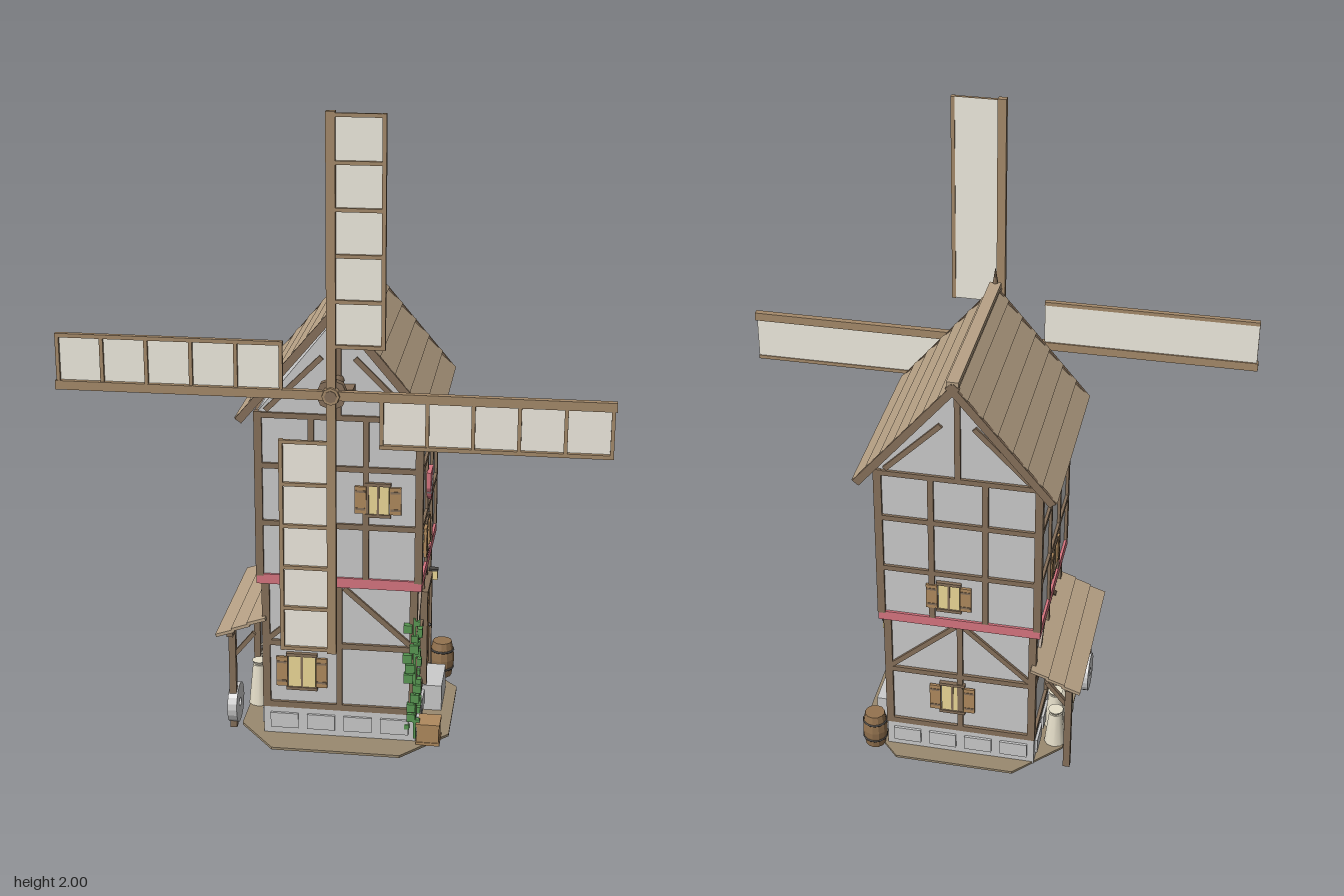
import * as THREE from 'three';

const paint = (color, opts = {}) => new THREE.MeshStandardMaterial({ color, ...opts });
const MAT = {
  wall: paint(0xcccccc), stone: paint(0xcccccc), timber: paint(0x86705a), spar: paint(0xa58a6a),
  roof: paint(0xb8a286), band: paint(0xd87580), glass: paint(0xeeda98), shutter: paint(0xb08a5e),
  door: paint(0xa27c54), iron: paint(0x4a4744), leaf: paint(0x5a9a54), soil: paint(0x9a8a70),
  sack: paint(0xe6dfca), white: paint(0xeeeeee), cloth: paint(0xf0ece0, { side: THREE.DoubleSide }),
};
const CZ = -0.05; // centre of the tower in z

function add(parent, name, geo, mat, x = 0, y = 0, z = 0) {
  const m = new THREE.Mesh(geo, mat);
  m.name = name;
  m.position.set(x, y, z);
  parent.add(m);
  return m;
}
const box = (p, name, mat, w, h, d, x, y, z) => add(p, name, new THREE.BoxGeometry(w, h, d), mat, x, y, z);
function group(parent, name, x = 0, y = 0, z = 0) {
  const g = new THREE.Group();
  g.name = name;
  g.position.set(x, y, z);
  parent.add(g);
  return g;
}
// Straight beam between two points in an XY plane at depth z
function beam(p, name, x1, y1, x2, y2, z, w = 0.02, d = 0.016, mat = MAT.timber) {
  const m = box(p, name, mat, Math.hypot(x2 - x1, y2 - y1), w, d, (x1 + x2) / 2, (y1 + y2) / 2, z);
  m.rotation.z = Math.atan2(y2 - y1, x2 - x1);
  return m;
}
function prism(points, depth) {
  const g = new THREE.ExtrudeGeometry(new THREE.Shape(points.map(p => new THREE.Vector2(...p))),
    { depth, bevelEnabled: false });
  return g.translate(0, 0, -depth / 2);
}

// Lit window with mullions, frame and open shutters
function windowUnit(p, x, y, z, w = 0.066, h = 0.1) {
  const g = group(p, 'window', x, y, z);
  box(g, 'windowPane', MAT.glass, w, h, 0.012, 0, 0, 0.001);
  box(g, 'mullion', MAT.timber, 0.007, h, 0.016, 0, 0, 0.002);
  for (const s of [-1, 1]) {
    box(g, 'windowRail', MAT.timber, w + 0.012, 0.01, 0.018, 0, s * h / 2, 0.003);
    const leaf = box(g, 'shutter', MAT.shutter, 0.035, h * 0.86, 0.009, s * (w / 2 + 0.02), 0, 0.008);
    for (const v of [-1, 1]) box(leaf, 'shutterBatten', MAT.timber, 0.03, 0.007, 0.012, 0, v * h * 0.28, 0);
  }
}

// Timber framing of one side, facing local +z
function wallFrame(root, name, angle) {
  const g = group(root, name, 0, 0, CZ);
  g.rotation.y = angle;
  const lo = 0.234, up = 0.248;
  beam(g, 'sill', -0.24, 0.108, 0.24, 0.108, lo, 0.02);
  beam(g, 'lowerRail', -0.24, 0.32, 0.24, 0.32, lo, 0.018);
  beam(g, 'lowerPost', 0, angle === Math.PI / 2 ? 0.42 : 0.11, 0, 0.53, lo, 0.018);
  for (const s of [-1, 1]) {
    beam(g, 'lowerBrace', s * 0.015, 0.515, s * 0.225, 0.33, lo, 0.016, 0.014);
    beam(g, 'upperPost', s * 0.083, 0.555, s * 0.083, 1.07, up, 0.018);
  }
  for (const y of [0.725, 0.91, 1.07]) beam(g, 'upperRail', -0.25, y, 0.25, y, up, 0.017);
  box(g, 'bandBoard', MAT.band, 0.508, 0.032, 0.016, 0, 0.54, 0.247);
  for (let i = 0; i < 4; i++)
    box(g, 'foundationStone', MAT.stone, 0.088, 0.05, 0.02, -0.174 + i * 0.116, 0.055, 0.238);
  return g;
}

// One sail: spar, cloth and ladder frame, pointing up from the hub
function sail(parent, angle) {
  const g = group(parent, 'sail');
  g.rotation.z = angle;
  beam(g, 'spar', 0, 0, 0, 0.814, 0, 0.027, 0.02, MAT.spar);
  beam(g, 'outerRail', 0.15, 0.14, 0.15, 0.81, 0, 0.012, 0.016, MAT.spar);
  for (let i = 0; i < 6; i++) {
    const y = 0.146 + i * 0.1316;
    beam(g, 'sailRung', 0, y, 0.15, y, 0.002, 0.011, 0.01, MAT.spar);
  }
  add(g, 'sailCloth', new THREE.PlaneGeometry(0.144, 0.668), MAT.cloth, 0.078, 0.475, -0.005);
}

// Overlapping boards running along z on a slope of length L
function boards(slope, name, L, rows, width, thick, y, tilt) {
  for (let i = 0; i < rows; i++) {
    const board = box(slope, name, MAT.roof, L / rows + 0.006, thick, width, (i + 0.5) * L / rows, y, 0);
    board.rotation.z = tilt;
  }
}

function barrel(p, x, z) {
  const g = group(p, 'barrel', x, 0.006, z);
  const pts = [[0, 0], [0.032, 0], [0.039, 0.04], [0.041, 0.062], [0.039, 0.085], [0.032, 0.124], [0, 0.124]];
  add(g, 'barrelStaves', new THREE.LatheGeometry(pts.map(a => new THREE.Vector2(...a)), 12),
    paint(0x94734f, { flatShading: true }));
  for (const y of [0.03, 0.094]) {
    const hoop = add(g, 'barrelHoop', new THREE.TorusGeometry(0.037, 0.004, 5, 14), MAT.iron, 0, y, 0);
    hoop.rotation.x = Math.PI / 2;
  }
}

export function createModel() {
  const root = new THREE.Group();
  root.name = 'windmill';

  // Ground slab, outlined in x and z
  const outline = [[-0.2, 0.29], [0.2, 0.29], [0.34, 0.13], [0.34, -0.2], [0.2, -0.35], [-0.18, -0.35], [-0.32, -0.2], [-0.32, 0.14]];
  add(root, 'ground', prism(outline, 0.008).rotateX(Math.PI / 2), MAT.soil, 0, 0.004, 0);

  // Tower: foundation, two storeys and gable
  box(root, 'foundation', MAT.stone, 0.48, 0.1, 0.48, 0, 0.05, CZ);
  box(root, 'lowerWalls', MAT.wall, 0.464, 0.44, 0.464, 0, 0.32, CZ);
  box(root, 'upperWalls', MAT.wall, 0.494, 0.55, 0.494, 0, 0.805, CZ);
  add(root, 'gableWalls', prism([[-0.247, 1.075], [0.247, 1.075], [0, 1.385]], 0.494), MAT.wall, 0, 0, CZ);
  for (const sx of [-1, 1]) for (const sz of [-1, 1]) {
    box(root, 'lowerCornerPost', MAT.timber, 0.024, 0.43, 0.024, sx * 0.23, 0.315, CZ + sz * 0.23);
    box(root, 'upperCornerPost', MAT.timber, 0.024, 0.53, 0.024, sx * 0.244, 0.815, CZ + sz * 0.244);
  }

  // Four framed sides
  const front = wallFrame(root, 'frontFrame', 0);
  const east = wallFrame(root, 'doorSideFrame', Math.PI / 2);
  const back = wallFrame(root, 'backFrame', Math.PI);
  const west = wallFrame(root, 'shelterSideFrame', -Math.PI / 2);
  for (const g of [front, back]) {
    beam(g, 'gablePost', 0, 1.07, 0, 1.37, 0.248, 0.018);
    for (const s of [-1, 1]) beam(g, 'gableBrace', s * 0.22, 1.085, s * 0.05, 1.255, 0.248, 0.016);
  }
  windowUnit(front, 0.12, 0.815, 0.247);
  windowUnit(front, -0.118, 0.225, 0.234, 0.085, 0.115);
  windowUnit(east, 0.045, 1.0, 0.247);
  windowUnit(east, -0.085, 0.645, 0.247, 0.07, 0.11);
  windowUnit(back, -0.03, 0.64, 0.247);
  windowUnit(back, -0.025, 0.23, 0.234, 0.07, 0.11);
  windowUnit(west, -0.01, 0.99, 0.247);
  windowUnit(west, -0.01, 0.66, 0.247);
  windowUnit(west, 0.06, 0.25, 0.234);

  // Door with step and lantern
  for (let i = 0; i < 5; i++) box(east, 'doorPlank', MAT.door, 0.027, 0.3, 0.016, 0.001 + i * 0.028, 0.26, 0.238);
  for (const u of [-0.021, 0.135]) box(east, 'doorJamb', MAT.timber, 0.016, 0.32, 0.028, u, 0.26, 0.24);
  box(east, 'doorLintel', MAT.timber, 0.175, 0.018, 0.03, 0.057, 0.417, 0.24);
  for (const y of [0.17, 0.35]) box(east, 'doorHinge', MAT.timber, 0.08, 0.008, 0.02, 0.03, y, 0.239);
  add(east, 'doorKnob', new THREE.SphereGeometry(0.006, 8, 6), MAT.iron, 0.105, 0.25, 0.25);
  box(east, 'doorStep', MAT.stone, 0.16, 0.09, 0.07, 0.055, 0.05, 0.268);
  box(east, 'lantern', MAT.glass, 0.018, 0.03, 0.018, 0.137, 0.415, 0.262);
  box(east, 'lanternCap', MAT.iron, 0.022, 0.007, 0.03, 0.137, 0.434, 0.258);

  // Painted shield
  const shield = [[-0.04, 0.05], [-0.04, 0], [-0.025, -0.03], [0, -0.05], [0.025, -0.03], [0.04, 0], [0.04, 0.05]];
  add(east, 'shield', prism(shield, 0.014), MAT.band, -0.08, 0.81, 0.26);
  beam(east, 'shieldStripe', -0.11, 0.79, -0.05, 0.84, 0.262, 0.012, 0.014, MAT.white);

  // Roof: overlapping planks, barge boards and ridge
  const run = 0.305, drop = 0.362, L = Math.hypot(run, drop);
  for (const turn of [0, Math.PI]) {
    const half = group(root, 'roofHalf', 0, 1.437, -0.055);
    half.rotation.y = turn;
    const slope = group(half, 'roofSlope');
    slope.rotation.z = -Math.atan2(drop, run);
    box(slope, 'roofDeck', MAT.roof, L - 0.01, 0.01, 0.6, L / 2, -0.022, 0);
    boards(slope, 'roofPlank', L, 7, 0.612, 0.01, -0.011, 0.12);
    for (const s of [-1, 1]) box(slope, 'bargeBoard', MAT.timber, L, 0.024, 0.012, L / 2, -0.016, s * 0.304);
  }
  box(root, 'ridgeBeam', MAT.roof, 0.036, 0.016, 0.616, 0, 1.432, -0.055);
  add(root, 'finial', new THREE.ConeGeometry(0.01, 0.06, 6), MAT.timber, 0, 1.464, 0.25);

  // Sails on their shaft
  const rotor = group(root, 'rotor', 0, 1.186, 0.346);
  for (let i = 0; i < 4; i++) sail(rotor, i * Math.PI / 2);
  const shaft = add(rotor, 'shaft', new THREE.CylinderGeometry(0.018, 0.018, 0.22, 8), MAT.timber, 0, 0, -0.09);
  const hub = add(rotor, 'hub', new THREE.CylinderGeometry(0.046, 0.046, 0.026, 8), MAT.timber, 0, 0, -0.014);
  const cap = add(rotor, 'hubCap', new THREE.CylinderGeometry(0.026, 0.028, 0.02, 8), MAT.spar, 0, 0, 0.008);
  for (const m of [shaft, hub, cap]) m.rotation.x = Math.PI / 2;
  box(root, 'shaftBearing', MAT.timber, 0.1, 0.03, 0.06, 0, 1.16, 0.225);

  // Lean-to shelter
  const shed = group(root, 'shelter');
  const shedSlope = group(shed, 'shelterRoof', -0.235, 0.412, -0.055);
  shedSlope.rotation.set(0, Math.PI, -Math.atan2(0.068, 0.15), 'YXZ');
  boards(shedSlope, 'shelterPlank', 0.164, 3, 0.53, 0.01, -0.006, 0.1);
  for (const z of [-0.27, 0.15]) {
    box(shed, 'shelterPost', MAT.timber, 0.022, 0.345, 0.022, -0.345, 0.172, z);
    beam(shed, 'shelterBrace', -0.34, 0.25, -0.275, 0.33, z, 0.014, 0.014);
    beam(shed, 'shelterRafter', -0.37, 0.336, -0.235, 0.397, z, 0.014, 0.016);
  }
  box(shed, 'shelterBeam', MAT.timber, 0.02, 0.018, 0.5, -0.345, 0.34, -0.055);

  // Sacks, millstone, barrel and crate
  [[-0.29, -0.17, 0.12], [-0.275, -0.09, 0.13], [-0.29, -0.01, 0.14]].forEach(([x, z, h]) => {
    add(root, 'flourSack', new THREE.CylinderGeometry(0.022, 0.036, h, 10), MAT.sack, x, h / 2 + 0.005, z);
    add(root, 'sackTie', new THREE.CylinderGeometry(0.025, 0.015, 0.016, 10), MAT.sack, x, h + 0.01, z);
  });
  const disc = new THREE.Shape().absarc(0, 0, 0.064, 0, Math.PI * 2);
  disc.holes.push(new THREE.Path().absarc(0, 0, 0.014, 0, Math.PI * 2, true));
  const wheel = add(root, 'millstone', new THREE.ExtrudeGeometry(disc, { depth: 0.03, bevelEnabled: false, curveSegments: 10 }),
    MAT.stone, -0.36, 0.07, 0.12);
  wheel.rotation.y = Math.PI / 2;
  barrel(root, 0.282, -0.293);
  const crate = group(root, 'crate', 0.28, 0.042, 0.175);
  box(crate, 'crateBody', MAT.shutter, 0.07, 0.066, 0.07, 0, 0, 0);
  for (const y of [-0.031, 0.031]) box(crate, 'crateSlat', MAT.shutter, 0.075, 0.01, 0.075, 0, y, 0);

  // Ivy climbing the front corner
  let seed = 7;
  const rnd = () => (seed = (seed * 16807) % 2147483647) / 2147483647;
  for (let i = 0; i < 22; i++) {
    const s = 0.016 + rnd() * 0.014, t = rnd() * 0.036, y = 0.06 + i * 0.0168;
    box(root, 'ivyLeaf', MAT.leaf, s, s, s * 0.8, i % 2 ? 0.243 : 0.246 - t, y, i % 2 ? 0.2 - t : 0.194);
  }
  beam(root, 'ivyStem', 0.238, 0.02, 0.234, 0.43, 0.194, 0.008, 0.008, MAT.leaf);
  return root;
}
